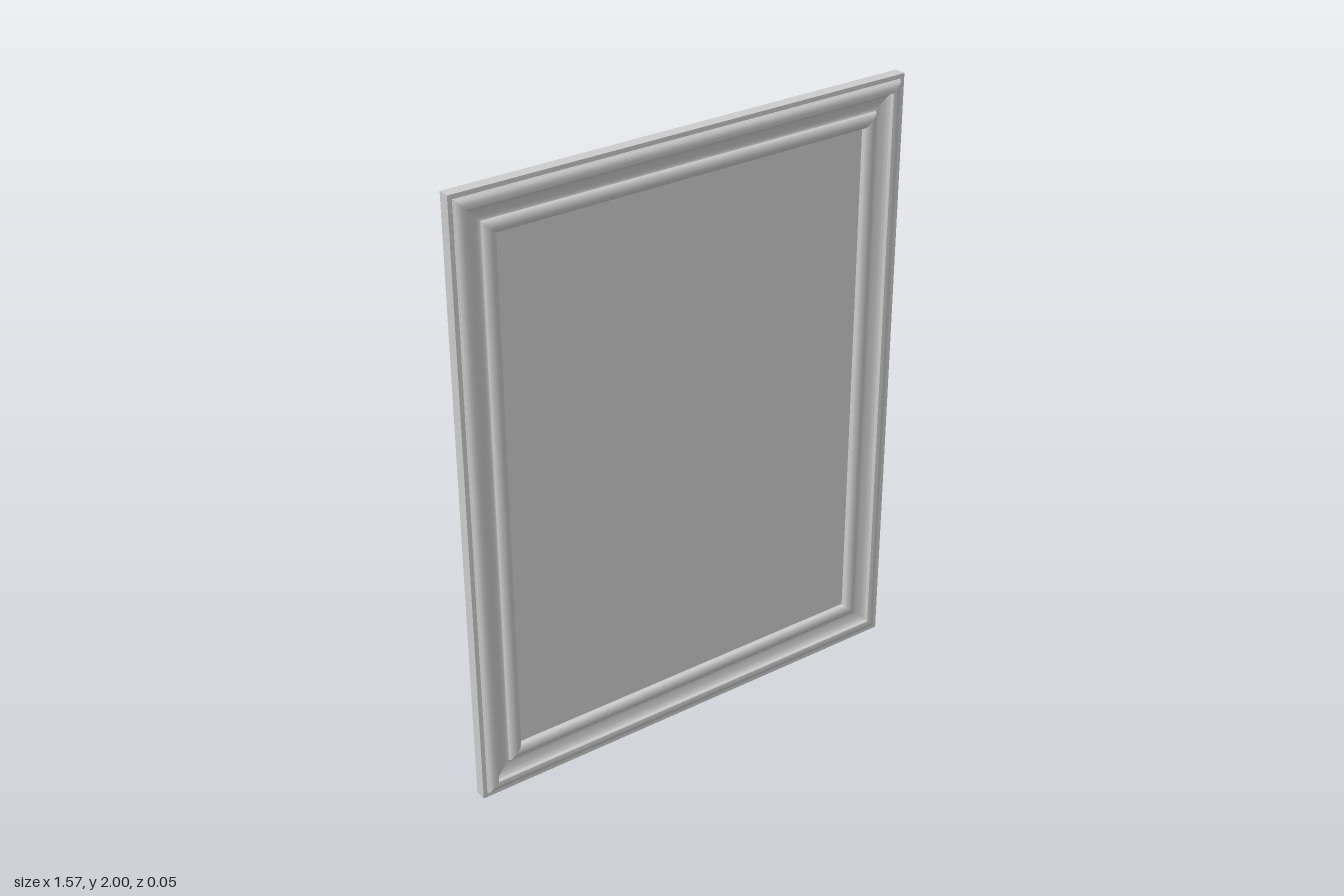
import * as THREE from 'three';
import { toCreasedNormals } from 'three/addons/utils/BufferGeometryUtils.js';

const HALF_W = 0.785, HALF_H = 1, BACK = -0.026, INSET = 0.145;

// Moulding cross-section: [distance in from the outer edge, z], from outer back to inner back
function mouldingProfile() {
  const p = [[0, BACK], [0, 0.012], [0.014, 0.012], [0.016, 0.015]];
  // rounded outer lip
  for (let i = 0; i <= 6; i++) {
    const a = Math.PI * (1 - i / 12);
    p.push([0.038 + 0.02 * Math.cos(a), 0.016 + 0.01 * Math.sin(a)]);
  }
  p.push([0.049, 0.025], [0.052, 0.019]);
  // hollow cove
  for (let i = 1; i <= 8; i++) {
    const a = (Math.PI / 2) * (i / 8);
    p.push([0.052 + 0.046 * (1 - Math.cos(a)), 0.019 - 0.014 * Math.sin(a)]);
  }
  // inner bead
  for (let i = 0; i <= 12; i++) {
    const a = Math.PI * (1 - i / 12);
    p.push([0.122 + 0.022 * Math.cos(a), 0.006 + 0.013 * Math.sin(a)]);
  }
  p.push([INSET, -0.004], [INSET, BACK]);
  return p;
}

// One mitred rail lying along x at the bottom of a frame of the given half sizes
function railGeometry(profile, halfLength, halfSpan) {
  const pos = [];
  const at = (s, [d, z]) => [s * (halfLength - d), -(halfSpan - d), z];
  profile.forEach((p, i) => {
    const q = profile[(i + 1) % profile.length];
    const a = at(-1, p), b = at(1, p), c = at(1, q), d = at(-1, q);
    pos.push(...a, ...b, ...c, ...a, ...c, ...d);
  });
  const g = new THREE.BufferGeometry();
  g.setAttribute('position', new THREE.Float32BufferAttribute(pos, 3));
  return toCreasedNormals(g, 0.6);
}

export function createModel() {
  const model = new THREE.Group();
  model.name = 'framedPanel';
  const grey = new THREE.MeshStandardMaterial({ color: 0xcccccc });
  grey.name = 'plain grey';

  // four mitred rails
  const profile = mouldingProfile();
  const frame = new THREE.Group();
  frame.name = 'frame';
  ['bottomRail', 'leftRail', 'topRail', 'rightRail'].forEach((name, i) => {
    const upright = i % 2 === 1;
    const g = railGeometry(profile, upright ? HALF_H : HALF_W, upright ? HALF_W : HALF_H);
    const rail = new THREE.Mesh(g, grey);
    rail.name = name;
    rail.rotation.z = (i * Math.PI) / 2;
    frame.add(rail);
  });
  frame.position.y = HALF_H;
  model.add(frame);

  // flat panel, recessed on both sides
  const panel = new THREE.Mesh(
    new THREE.BoxGeometry(2 * (HALF_W - INSET) + 0.01, 2 * (HALF_H - INSET) + 0.01, 0.014), grey);
  panel.name = 'panel';
  panel.position.set(0, HALF_H, -0.009);
  model.add(panel);
  return model;
}
